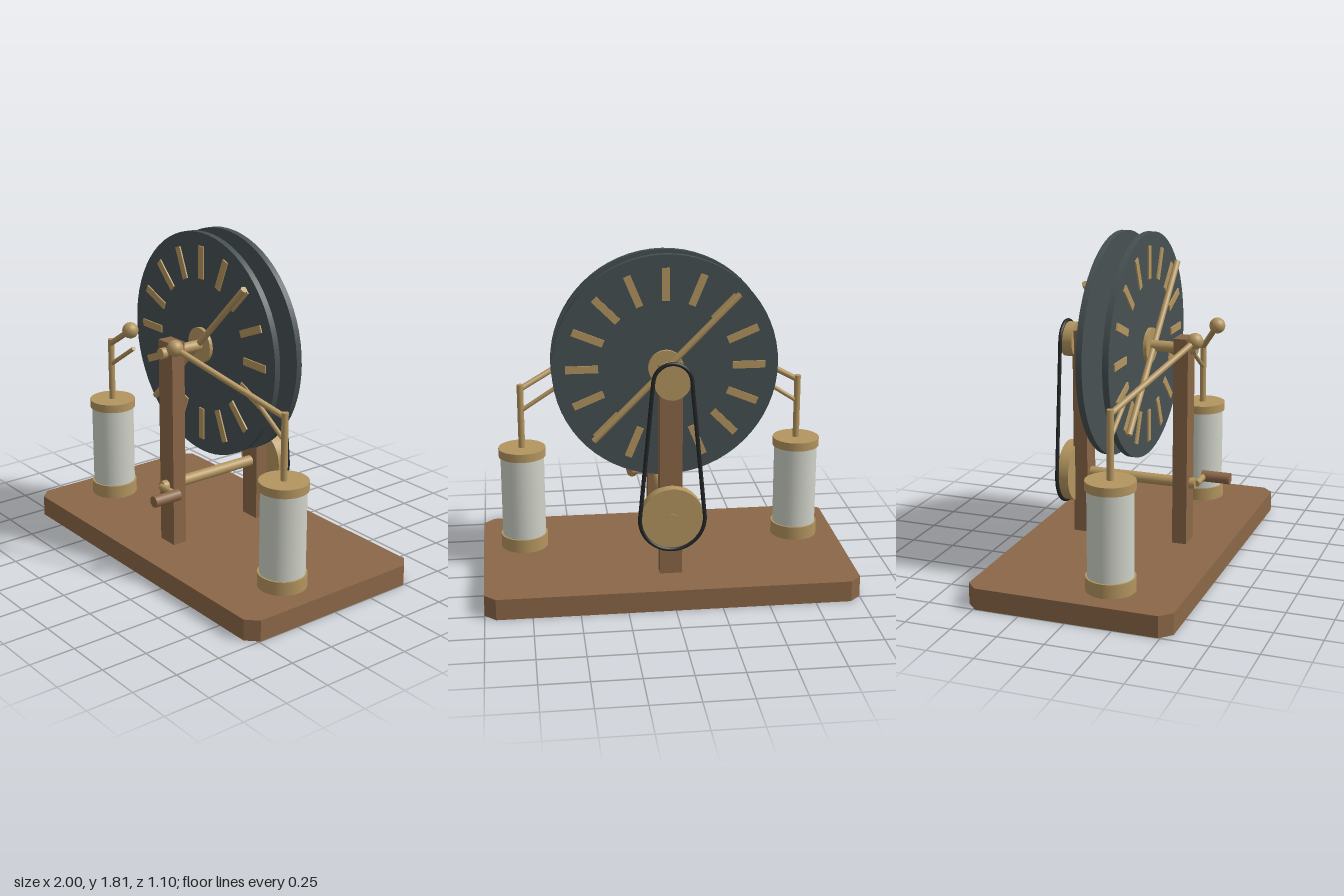
import * as THREE from 'three';

const mat = (color) => new THREE.MeshStandardMaterial({ color });

export function createModel() {
  const wood = mat(0x8b6748), brass = mat(0xb3955f), plate = mat(0x465052);
  const rubber = mat(0x222526), glass = mat(0xcfd2c8);
  const model = new THREE.Group();
  model.name = 'electrostaticGenerator';

  const add = (name, geometry, material, x = 0, y = 0, z = 0, parent = model) => {
    const m = new THREE.Mesh(geometry, material);
    m.name = name;
    m.position.set(x, y, z);
    parent.add(m);
    return m;
  };
  // round bar between two points
  const rod = (name, a, b, r, material = brass, parent = model, sides = 24) => {
    const p = new THREE.Vector3(...a), q = new THREE.Vector3(...b);
    const d = q.clone().sub(p);
    const m = add(name, new THREE.CylinderGeometry(r, r, d.length(), sides), material, 0, 0, 0, parent);
    m.position.copy(p).add(q).multiplyScalar(0.5);
    m.quaternion.setFromUnitVectors(new THREE.Vector3(0, 1, 0), d.normalize());
    return m;
  };

  // base board with clipped corners
  const X = 1, Z = 0.55, c = 0.06, baseTop = 0.115;
  const outline = new THREE.Shape([
    [-X + c, -Z], [X - c, -Z], [X, -Z + c], [X, Z - c],
    [X - c, Z], [-X + c, Z], [-X, Z - c], [-X, -Z + c],
  ].map(([x, y]) => new THREE.Vector2(x, y)));
  const board = new THREE.ExtrudeGeometry(outline, { depth: baseTop, bevelEnabled: false });
  add('base', board.rotateX(-Math.PI / 2), wood);

  const axisY = 1.2, crankY = 0.45;
  rod('mainAxle', [0, axisY, 0.36], [0, axisY, -0.38], 0.03);
  rod('crankAxle', [0, crankY, 0.36], [0, crankY, -0.39], 0.03);

  // one post, disc and neutralizer rod on each side
  for (const s of [1, -1]) {
    const side = s > 0 ? 'front' : 'back';
    add(side + 'Post', new THREE.BoxGeometry(0.12, 1.26 - baseTop, 0.08), wood, 0, (1.26 + baseTop) / 2, s * 0.288);

    const disc = new THREE.Group();
    disc.name = side + 'Disc';
    disc.position.y = axisY;
    model.add(disc);
    rod('plate', [0, 0, s * 0.055], [0, 0, s * 0.088], 0.605, plate, disc, 64);
    rod('hub', [0, 0, s * 0.035], [0, 0, s * 0.108], 0.095, brass, disc, 32);
    for (let i = 0; i < 16; i++) {
      const a = (i * Math.PI) / 8;
      const sector = add('sector', new THREE.BoxGeometry(0.175, 0.04, 0.01), brass,
        0.447 * Math.cos(a), 0.447 * Math.sin(a), s * 0.091, disc);
      sector.rotation.z = a;
    }
    rod(side + 'NeutralizerRod', [-s * 0.39, axisY - 0.39, s * 0.118], [s * 0.39, axisY + 0.39, s * 0.118], 0.017);
  }

  // pulleys and belt at the back
  rod('upperPulley', [0, axisY, -0.32], [0, axisY, -0.385], 0.095, brass, model, 32);
  rod('lowerPulley', [0, crankY, -0.32], [0, crankY, -0.385], 0.168, brass, model, 40);
  const r = 0.1, R = 0.172, tilt = Math.asin((R - r) / (axisY - crankY));
  const loop = new THREE.Path();
  loop.absarc(0, axisY, r, tilt, Math.PI - tilt, false);
  loop.absarc(0, crankY, R, Math.PI - tilt, 2 * Math.PI + tilt, false);
  loop.closePath();
  const pts = loop.getSpacedPoints(96).slice(0, -1).map((p) => new THREE.Vector3(p.x, p.y, -0.383));
  add('belt', new THREE.TubeGeometry(new THREE.CatmullRomCurve3(pts, true), 144, 0.011, 8, true), rubber);

  // crank
  rod('crankArm', [0, crankY, 0.365], [0.14, crankY, 0.365], 0.018);
  rod('crankHandle', [0.14, crankY, 0.355], [0.14, crankY, 0.515], 0.031, wood, model, 16);

  // storage jars with collectors and discharge arms
  for (const s of [1, -1]) {
    const x = s * 0.77, z = 0.16;
    const jar = new THREE.Group();
    jar.name = s > 0 ? 'leftJar' : 'rightJar';
    model.add(jar);
    const slice = (name, y0, y1, rad, m) => rod(name, [x, y0, z], [x, y1, z], rad, m, jar, 32);
    slice('bottomBand', baseTop, 0.19, 0.13, brass);
    slice('glassBody', 0.19, 0.65, 0.12, glass);
    slice('topCap', 0.648, 0.695, 0.13, brass);
    slice('terminal', 0.69, 1.055, 0.018, brass);
    rod('collector', [x, 0.905, z], [s * 0.54, 1.055, z], 0.012, brass, jar);
    rod('dischargeArm', [x, 1.03, z], [s * 0.2, 1.29, 0.41], 0.016, brass, jar);
    add('dischargeBall', new THREE.SphereGeometry(0.043, 20, 14), brass, s * 0.2, 1.29, 0.41, jar);
  }
  return model;
}
